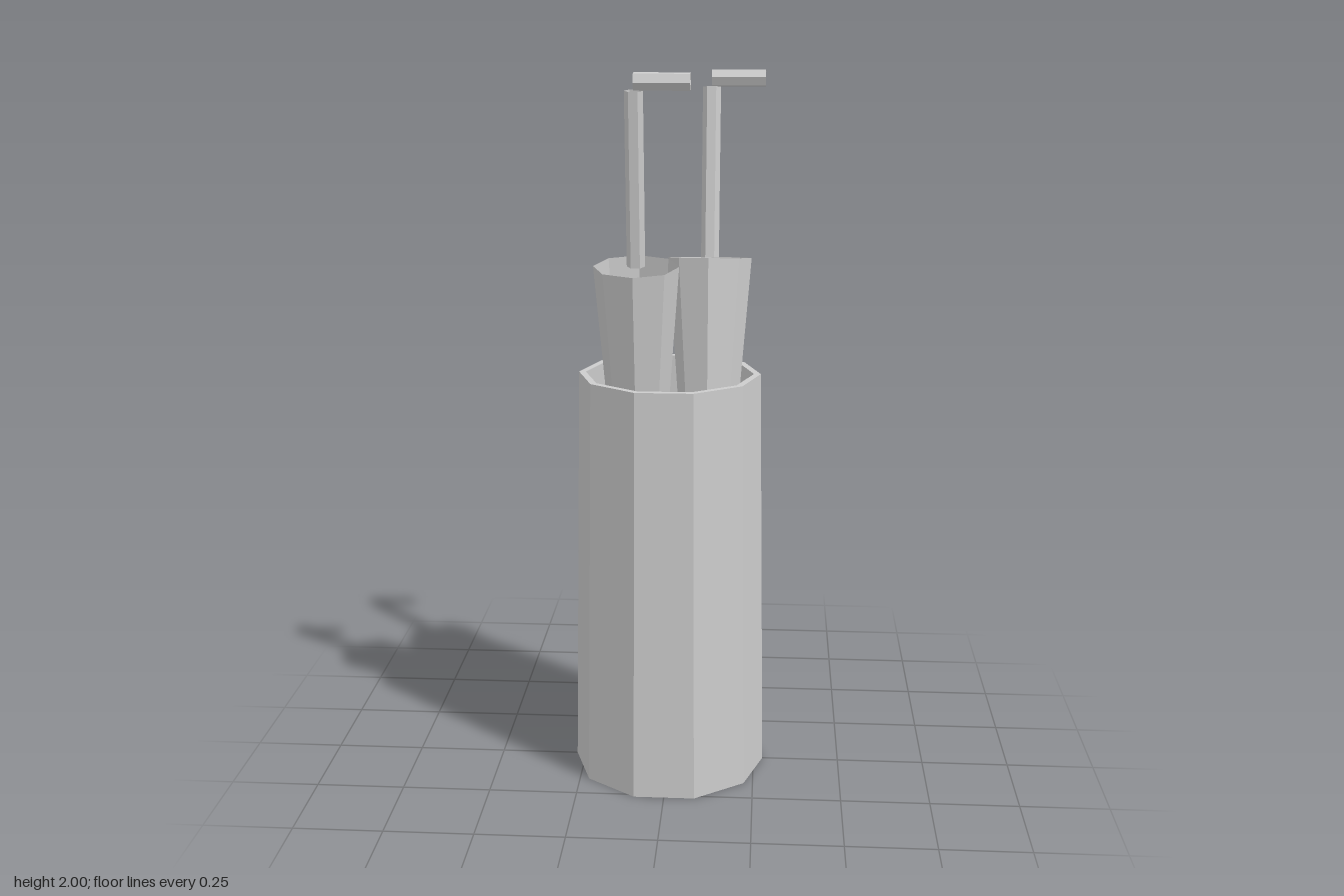
import * as THREE from 'three';

const grey = new THREE.MeshStandardMaterial({
  name: 'plain grey', color: 0xcccccc, flatShading: true, side: THREE.DoubleSide,
});

function part(name, geometry) {
  const mesh = new THREE.Mesh(geometry, grey);
  mesh.name = name;
  return mesh;
}

// Furled umbrella: origin at the middle of the canopy's open rim
function umbrella(name, x, y, z, tilt) {
  const group = new THREE.Group();
  group.name = name;

  // Tapered open canopy
  const length = 1.18;
  const canopy = new THREE.CylinderGeometry(0.117, 0.026, length, 8, 1, true);
  canopy.translate(0, -length / 2, 0);
  group.add(part('canopy', canopy));

  // Hexagonal shaft
  const shaft = new THREE.CylinderGeometry(0.025, 0.025, 0.47, 6, 1, true);
  shaft.rotateY(Math.PI / 2).translate(0, 0.235, 0);
  group.add(part('shaft', shaft));

  // Open tube handle across the top
  const handle = new THREE.CylinderGeometry(0.025, 0.025, 0.149, 6, 1, true);
  handle.rotateZ(Math.PI / 2).translate(0.0745, 0.494, 0);
  group.add(part('handle', handle));

  group.position.set(x, y, z);
  group.rotation.x = tilt;
  return group;
}

export function createModel() {
  const model = new THREE.Group();
  model.name = 'umbrellaStand';

  // Ten-sided hollow stand with a thin rim
  const profile = [
    [0, 0], [0.277, 0], [0.255, 1.175], [0.236, 1.175], [0.236, 0.06], [0, 0.06],
  ].map(([r, y]) => new THREE.Vector2(r, y));
  const stand = new THREE.LatheGeometry(profile, 10);
  stand.rotateY(Math.PI / 2);
  model.add(part('stand', stand));

  // Two umbrellas leaning apart
  model.add(umbrella('frontUmbrella', -0.086, 1.487, 0.08, 0.105));
  model.add(umbrella('backUmbrella', 0.107, 1.485, -0.1, -0.14));
  return model;
}
